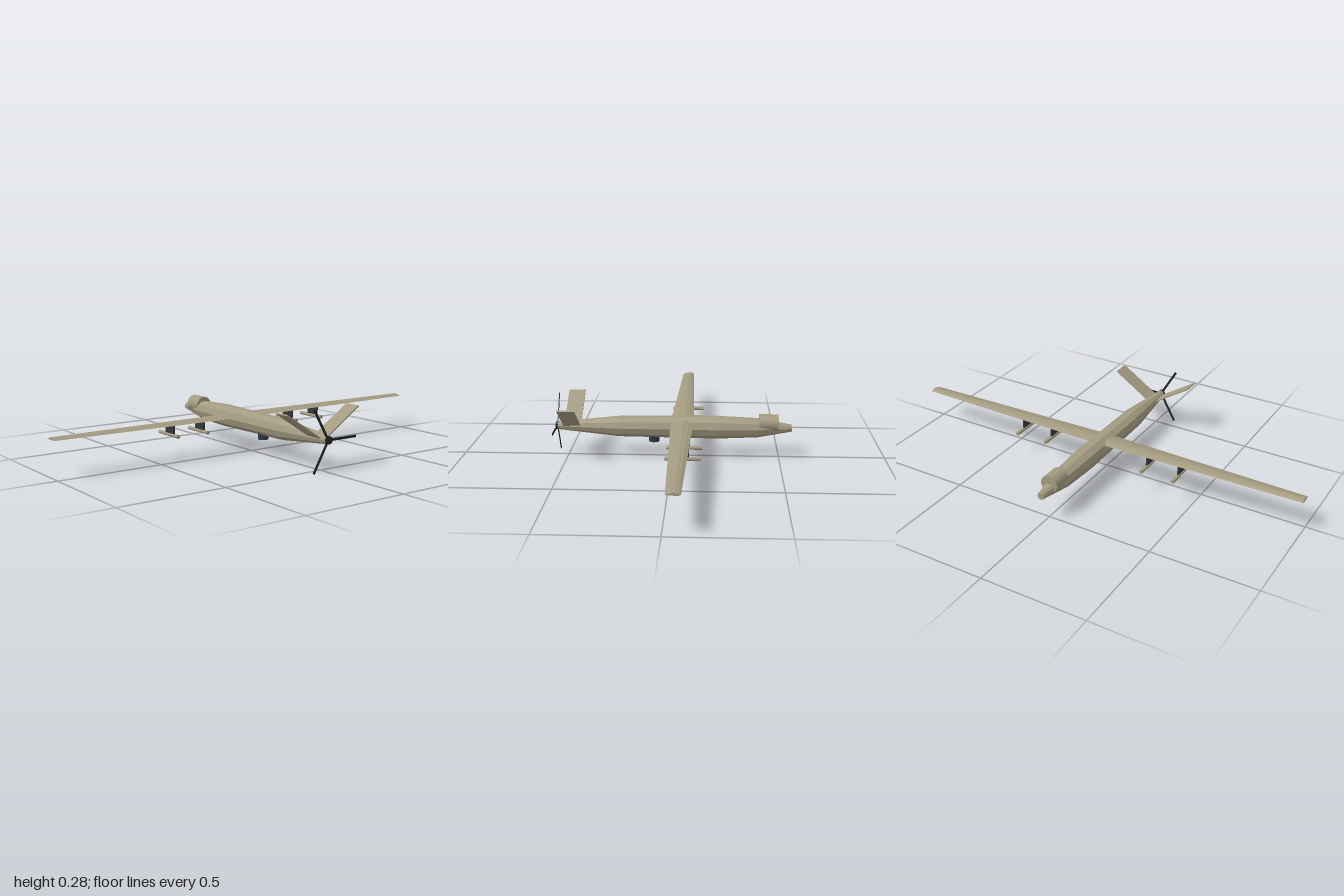
import * as THREE from 'three';

const mat = (color) => new THREE.MeshStandardMaterial({ color, flatShading: true });

// Skin a list of equal-length rings (arrays of [x, y, z]) and cap both ends
function loft(rings) {
  const n = rings[0].length, pos = rings.flat(2), idx = [];
  for (let r = 0; r < rings.length - 1; r++) {
    for (let i = 0; i < n; i++) {
      const a = r * n + i, b = r * n + (i + 1) % n;
      idx.push(a, b, a + n, b, b + n, a + n);
    }
  }
  const last = (rings.length - 1) * n;
  for (let i = 1; i < n - 1; i++) {
    idx.push(0, i + 1, i, last, last + i, last + i + 1);
  }
  const g = new THREE.BufferGeometry();
  g.setAttribute('position', new THREE.Float32BufferAttribute(pos, 3));
  g.setIndex(idx);
  const flat = g.toNonIndexed();
  flat.computeVertexNormals();
  return flat;
}

export function createModel() {
  const model = new THREE.Group();
  model.name = 'aircraft';
  const tan = mat(0xa39a80), dark = mat(0x35363a), black = mat(0x222426), glass = mat(0x2c3742);
  const smoothTan = new THREE.MeshStandardMaterial({ color: 0xa39a80 });
  const axisY = 0.143;

  const add = (name, geometry, material, x = 0, y = 0, z = 0, parent = model) => {
    const mesh = new THREE.Mesh(geometry, material);
    mesh.name = name;
    mesh.position.set(x, y, z);
    parent.add(mesh);
    return mesh;
  };
  const rod = (r, length, sides) => new THREE.CylinderGeometry(r, r, length, sides).rotateX(Math.PI / 2);

  // Ten-sided fuselage, nose at -z
  const stations = [[-0.56, 0.0165], [-0.4, 0.0455], [-0.21, 0.054], [0.257, 0.0485], [0.55, 0.018]];
  add('fuselage', loft(stations.map(([z, r]) => Array.from({ length: 10 }, (_, i) => {
    const a = i * Math.PI / 5;
    return [r * Math.cos(a), axisY + r * Math.sin(a), z];
  }))), tan);

  // Raised housing over the nose
  add('noseHousing', rod(0.041, 0.09, 24), smoothTan, 0, 0.167, -0.45);

  // Tapered wing: [chord fraction, height fraction] from leading edge over the top
  const profile = [[0, 0.3], [0.18, 0.75], [0.42, 1], [0.68, 0.75], [1, 0.15], [0.6, 0], [0.15, 0]];
  const wingRing = (x, lead, trail, height) =>
    profile.map(([c, h]) => [x, 0.167 + h * height, lead + c * (trail - lead)]);
  add('wing', loft([
    wingRing(-1, -0.075, -0.014, 0.012),
    wingRing(0, -0.097, 0.011, 0.015),
    wingRing(1, -0.075, -0.014, 0.012),
  ]), tan);

  // Underwing pylons and stores
  for (const x of [-0.42, -0.26, 0.26, 0.42]) {
    add('pylon', new THREE.BoxGeometry(0.008, 0.042, 0.072), dark, x, 0.149, -0.051);
    add('store', rod(0.009, 0.158, 8), tan, x, 0.121, -0.061);
  }

  // V tail
  const slope = Math.atan2(0.13, 0.2), span = 0.23;
  for (const side of [-1, 1]) {
    const fin = new THREE.Group();
    fin.name = side > 0 ? 'leftTailFin' : 'rightTailFin';
    fin.position.set(0, 0.136, 0.48);
    fin.rotation.z = side * slope;
    add('finPanel', new THREE.BoxGeometry(span, 0.006, 0.08), tan, side * (0.01 + span / 2), 0, 0, fin);
    model.add(fin);
  }

  // Pusher propeller at the tail
  const propeller = new THREE.Group();
  propeller.name = 'propeller';
  propeller.position.set(0, axisY, 0.55);
  add('hub', rod(0.018, 0.018, 12), black, 0, 0, -0.001, propeller);
  for (let i = 0; i < 3; i++) {
    const a = i * Math.PI * 2 / 3;
    const blade = add('blade', new THREE.BoxGeometry(0.16, 0.011, 0.003), black,
      0.08 * Math.cos(a), 0.08 * Math.sin(a), 0, propeller);
    blade.rotation.z = a;
  }
  model.add(propeller);

  // Sensor turret under the belly
  add('sensorTurret', new THREE.CylinderGeometry(0.025, 0.025, 0.035, 12), glass, 0, 0.089, 0.09);

  return model;
}
